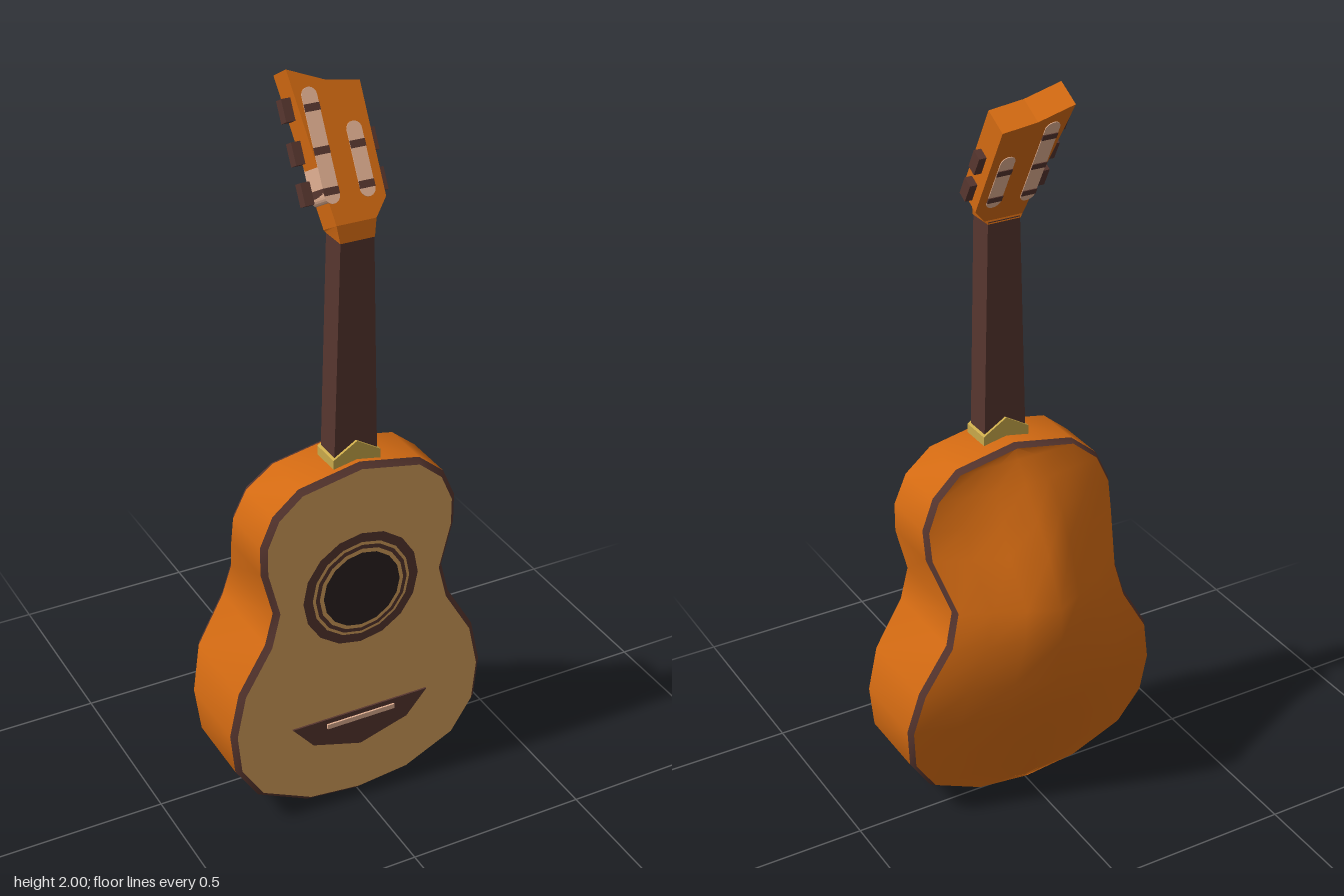
import * as THREE from 'three';

const paint = (name, color) => {
  const m = new THREE.MeshStandardMaterial({ color });
  m.name = name;
  return m;
};

// Half outline of the body, bottom to top: x, y, z of the back rim, z of the back ridge
const OUTLINE = [
  [0, 0.003, -0.02, -0.02], [0.15, 0.02, -0.02, -0.03], [0.295, 0.09, -0.028, -0.06],
  [0.36, 0.19, -0.04, -0.1], [0.372, 0.31, -0.055, -0.15], [0.345, 0.435, -0.075, -0.187],
  [0.268, 0.565, -0.085, -0.203], [0.245, 0.655, -0.075, -0.2], [0.277, 0.78, 0, -0.137],
  [0.277, 0.86, 0.015, -0.08], [0.242, 0.94, 0.022, -0.02], [0.17, 1.0, 0.03, 0.02],
  [0, 1.033, 0.03, 0.03],
];
const LOOP = [...OUTLINE, ...OUTLINE.slice(1, -1).reverse().map(([x, y, r, b]) => [-x, y, r, b])];
const N = LOOP.length;

// Closed ring of points around the body, moved inwards by inset
function ring(inset, zOf) {
  return LOOP.map((p, i) => {
    const a = LOOP[(i + N - 1) % N], b = LOOP[(i + 1) % N];
    const t = new THREE.Vector2(b[0] - a[0], b[1] - a[1]).normalize();
    return [p[0] - t.y * inset, p[1] + t.x * inset, zOf(p)];
  });
}

function surface(points, index) {
  const g = new THREE.BufferGeometry();
  g.setAttribute('position', new THREE.Float32BufferAttribute(points.flat(), 3));
  g.setIndex(index);
  g.computeVertexNormals();
  return g;
}

// Strip between a front ring and a ring behind it
function band(front, back) {
  const index = [];
  for (let i = 0; i < N; i++) {
    const k = (i + 1) % N;
    index.push(N + i, N + k, i, N + k, k, i);
  }
  return surface([...front, ...back], index);
}

// Tent-like back, lofted row by row from rim to ridge to rim
function backGeometry(rim) {
  const cols = 7, points = [], index = [];
  OUTLINE.forEach((p, i) => {
    for (let j = 0; j < cols; j++) {
      const t = (j / (cols - 1)) * 2 - 1;
      points.push([rim[i][0] * t, rim[i][1], THREE.MathUtils.lerp(p[3], rim[i][2], Math.abs(t))]);
    }
  });
  for (let i = 0; i < OUTLINE.length - 1; i++) {
    for (let j = 0; j < cols - 1; j++) {
      const a = i * cols + j, up = a + cols;
      index.push(a, up, a + 1, a + 1, up, up + 1);
    }
  }
  return surface(points, index);
}

const polygon = (pts) => new THREE.Shape(pts.map(([x, y]) => new THREE.Vector2(x, y)));

// Flat plate whose back lies at z
function plate(shape, z, depth) {
  return new THREE.ExtrudeGeometry(shape, { depth, bevelEnabled: false, curveSegments: 6 }).translate(0, 0, z);
}

// Box whose upper and lower faces are given as [halfWidth, frontY, frontZ, backY, backZ]
function taper(low, high) {
  const g = new THREE.BoxGeometry(2, 2, 2);
  const p = g.attributes.position;
  for (let i = 0; i < p.count; i++) {
    const [w, fy, fz, by, bz] = p.getY(i) > 0 ? high : low;
    const front = p.getZ(i) > 0;
    p.setXYZ(i, p.getX(i) * w, front ? fy : by, front ? fz : bz);
  }
  g.computeVertexNormals();
  return g;
}

export function createModel() {
  const orange = paint('orange wood', 0xd36a12);
  const spruce = paint('pale top wood', 0xd6a05c);
  const brown = paint('dark brown wood', 0x57362f);
  const black = paint('sound hole dark', 0x2c2120);
  const gold = paint('gold', 0xc9a94a);
  const pale = paint('pale pink', 0xe2b092);

  const model = new THREE.Group();
  model.name = 'guitar';
  const add = (parent, name, geometry, material) => {
    const mesh = new THREE.Mesh(geometry, material);
    mesh.name = name;
    parent.add(mesh);
    return mesh;
  };

  // Body
  const body = new THREE.Group();
  body.name = 'body';
  model.add(body);
  const frontRim = ring(0.015, () => 0.194);
  const frontEdge = ring(0, () => 0.18);
  const backEdge = ring(0, (p) => p[2] + 0.01);
  const backRim = ring(0.01, (p) => p[2] - 0.008);
  add(body, 'frontTrim', band(frontRim, frontEdge), brown);
  add(body, 'sides', band(frontEdge, backEdge), orange);
  add(body, 'backTrim', band(backEdge, backRim), brown);
  add(body, 'back', backGeometry(backRim), orange);
  add(body, 'top', new THREE.ShapeGeometry(polygon(frontRim)).translate(0, 0, 0.194), spruce);

  // Rosette and sound hole: thin discs, each smaller one a little further forward
  [[0.166, brown], [0.14, spruce], [0.132, brown], [0.121, spruce], [0.11, black]].forEach(([r, m], i) => {
    add(body, i === 4 ? 'soundHole' : 'rosetteRing',
      new THREE.CircleGeometry(r, 16).translate(0, 0.665, 0.1955 + i * 0.001), m);
  });

  // Bridge and saddle
  add(body, 'bridge', plate(polygon([[-0.2, 0.28], [-0.14, 0.21], [0, 0.168], [0.14, 0.21], [0.2, 0.28]]),
    0.193, 0.006), brown);
  add(body, 'saddle', new THREE.BoxGeometry(0.2, 0.014, 0.008).translate(0, 0.259, 0.2), pale);

  // Neck and collar
  add(model, 'neck', taper([0.061, 1.0, 0.16, 1.0, 0.087], [0.045, 1.63, 0.16, 1.63, 0.087]), brown);
  add(model, 'collar', plate(polygon([[-0.066, 1.015], [0.066, 1.015], [0.066, 1.045], [0, 1.085], [-0.066, 1.045]]),
    0.08, 0.087), gold);
  add(model, 'headJoint', taper([0.046, 1.625, 0.161, 1.625, 0.086], [0.053, 1.67, 0.155, 1.634, 0.0894]), orange);

  // Headstock, tilted back; its front face is local z = 0
  const head = new THREE.Group();
  head.name = 'headstock';
  head.position.set(0, 1.67, 0.155);
  head.rotation.x = THREE.MathUtils.degToRad(-29);
  model.add(head);
  const T = 0.075;
  add(head, 'headPlate', plate(polygon([[-0.053, 0], [0.053, 0], [0.09, 0.045], [0.09, 0.322], [0, 0.338],
    [-0.09, 0.376]]), -T, T), orange);

  // Slots with rollers, and tuning pegs: three on one side, two on the other
  [[-1, 0.328, [0.082, 0.178, 0.28]], [1, 0.232, [0.082, 0.178]]].forEach(([side, end, pegs]) => {
    const x = side * 0.047, r = 0.02;
    const slot = new THREE.Shape();
    slot.absarc(x, end - r, r, 0, Math.PI, false);
    slot.absarc(x, 0.052 + r, r, Math.PI, Math.PI * 2, false);
    add(head, 'slot', plate(slot, -T - 0.002, T + 0.004), pale);
    pegs.forEach((y) => {
      add(head, 'roller', new THREE.BoxGeometry(0.04, 0.018, T + 0.008).translate(x, y, -T / 2), brown);
      add(head, 'peg', new THREE.BoxGeometry(0.024, 0.055, 0.03).translate(side * 0.098, y + 0.006, -0.034), brown);
    });
  });

  return model;
}
